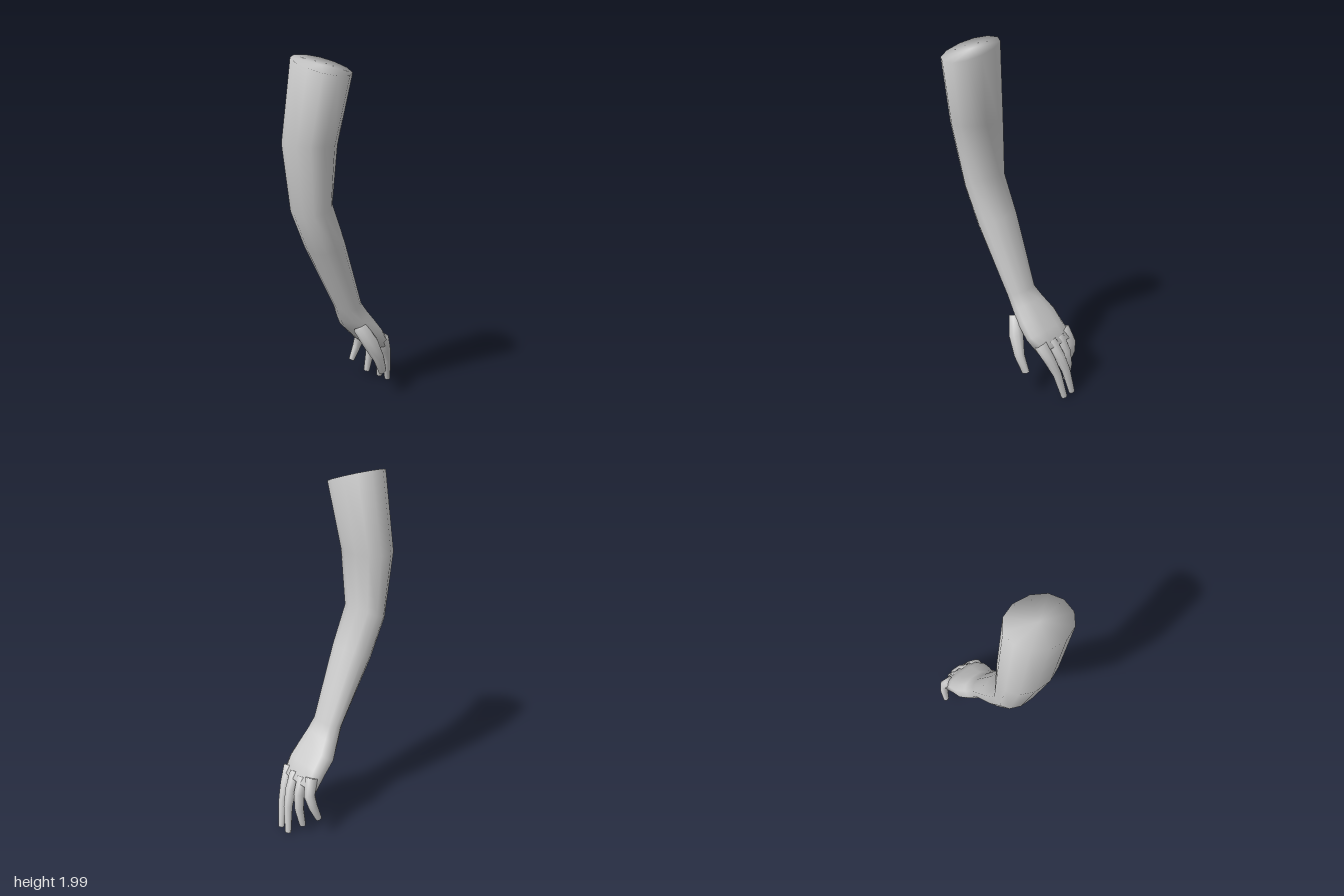
import * as THREE from 'three';

const material = new THREE.MeshStandardMaterial({ color: 0xcccccc, side: THREE.DoubleSide });
const V = (x, y, z) => new THREE.Vector3(x, y, z);

// Closed skin through rings { c, u, v, p }: centre, two half axes and roundness (1 = ellipse)
function loft(name, rings, sides) {
  const pos = [], index = [];
  for (const { c, u, v, p = 1 } of rings) {
    for (let j = 0; j < sides; j++) {
      const t = ((j + 0.5) / sides) * Math.PI * 2;
      const bend = (a) => Math.sign(a) * Math.abs(a) ** p;
      const q = c.clone().addScaledVector(u, bend(Math.cos(t))).addScaledVector(v, bend(Math.sin(t)));
      pos.push(q.x, q.y, q.z);
    }
  }
  const last = rings.length - 1;
  const start = rings.length * sides, end = start + 1;
  pos.push(...rings[0].c.toArray(), ...rings[last].c.toArray());
  for (let j = 0; j < sides; j++) {
    const k = (j + 1) % sides;
    for (let i = 0; i < last; i++) {
      const a = i * sides, b = a + sides;
      index.push(a + j, a + k, b + j, a + k, b + k, b + j);
    }
    index.push(start, k, j, end, last * sides + j, last * sides + k);
  }
  const geo = new THREE.BufferGeometry();
  geo.setAttribute('position', new THREE.Float32BufferAttribute(pos, 3));
  geo.setIndex(index);
  geo.computeVertexNormals();
  const mesh = new THREE.Mesh(geo, material);
  mesh.name = name;
  return mesh;
}

// Ring from its inner and outer points in x, y and its range in z; slope tilts it along z
function section([lx, ly, rx, ry, z0, z1, p = 0.95, slope = 0]) {
  const h = (z1 - z0) / 2;
  return {
    c: V((lx + rx) / 2, (ly + ry) / 2, (z0 + z1) / 2),
    u: V((rx - lx) / 2, (ry - ly) / 2, 0).multiplyScalar(1.03),
    v: V(0, slope * h, h).multiplyScalar(1.03), p,
  };
}

// Tapered finger along points [x, y, z, half thickness, half width]
function finger(name, pts) {
  const at = pts.map(([x, y, z]) => V(x, y, z));
  const rings = pts.map(([, , , thick, wide], i) => {
    const d = at[Math.min(i + 1, at.length - 1)].clone().sub(at[Math.max(i - 1, 0)]).normalize();
    const u = V(0, 0, 1).cross(d).normalize();
    const v = d.clone().cross(u);
    return { c: at[i], u: u.multiplyScalar(thick), v: v.multiplyScalar(wide), p: 0.85 };
  });
  return loft(name, rings, 8);
}

export function createModel() {
  const model = new THREE.Group();
  model.name = 'arm';

  // Upper arm with slanted end, elbow, forearm, wrist and palm
  model.add(loft('armAndPalm', [
    [-0.375, 1.95, -0.11, 1.95, -0.1, 0.24, 0.95, -0.294],
    [-0.395, 1.55, -0.15, 1.55, -0.155, 0.163],
    [-0.33, 1.17, -0.155, 1.24, -0.153, 0.11],
    [-0.235, 0.95, -0.06, 1.02, -0.15, 0.1],
    [-0.03, 0.57, 0.09, 0.61, -0.126, 0.065],
    [0.02, 0.48, 0.135, 0.55, -0.15, 0.068, 0.85],
    [0.075, 0.41, 0.19, 0.48, -0.186, 0.08, 0.8],
    [0.15, 0.34, 0.245, 0.405, -0.192, 0.085, 0.75],
    [0.225, 0.275, 0.305, 0.32, -0.205, 0.065, 0.75],
  ].map(section), 12));

  // Thumb and four fingers
  model.add(finger('thumb', [
    [0.06, 0.46, 0.045, 0.04, 0.04], [0.105, 0.36, 0.09, 0.045, 0.04],
    [0.15, 0.26, 0.113, 0.034, 0.027], [0.193, 0.16, 0.105, 0.026, 0.017],
  ]));
  model.add(finger('indexFinger', [
    [0.25, 0.34, 0.045, 0.036, 0.04], [0.3, 0.25, 0.02, 0.032, 0.034],
    [0.34, 0.16, -0.003, 0.025, 0.026], [0.375, 0.01, -0.03, 0.016, 0.019],
  ]));
  model.add(finger('middleFinger', [
    [0.26, 0.34, -0.03, 0.036, 0.036], [0.315, 0.25, -0.05, 0.032, 0.031],
    [0.35, 0.16, -0.07, 0.025, 0.026], [0.375, 0.01, -0.1, 0.016, 0.019],
  ]));
  model.add(finger('ringFinger', [
    [0.26, 0.34, -0.1, 0.036, 0.036], [0.305, 0.25, -0.118, 0.032, 0.029],
    [0.315, 0.16, -0.13, 0.025, 0.026], [0.3, 0.05, -0.14, 0.017, 0.02],
  ]));
  model.add(finger('littleFinger', [
    [0.25, 0.36, -0.165, 0.036, 0.034], [0.285, 0.27, -0.188, 0.031, 0.033],
    [0.275, 0.2, -0.207, 0.025, 0.026], [0.245, 0.115, -0.22, 0.018, 0.018],
  ]));
  return model;
}
